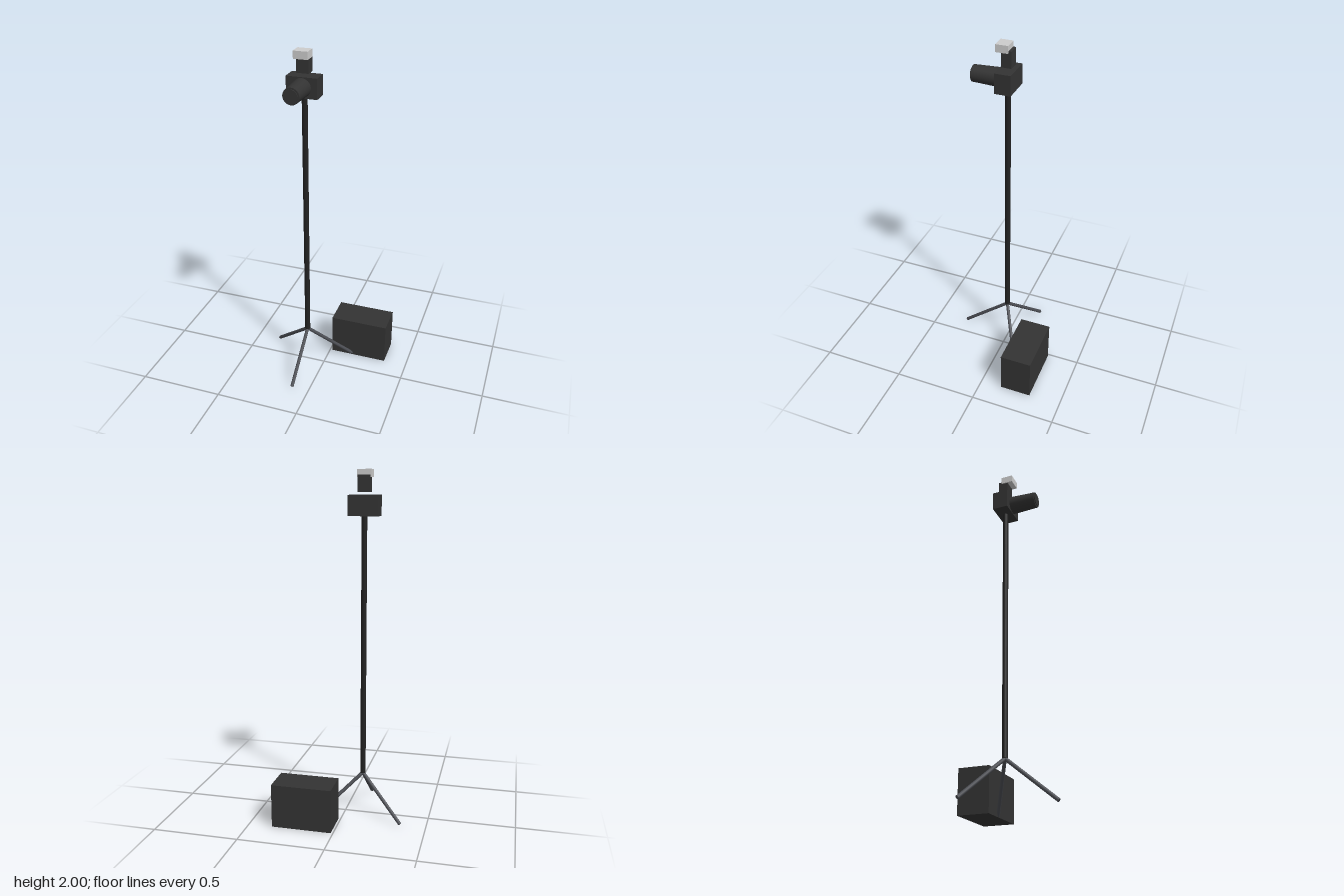
import * as THREE from 'three';

const mat = (name, color) => {
  const m = new THREE.MeshStandardMaterial({ color });
  m.name = name;
  return m;
};

export function createModel() {
  const root = new THREE.Group();
  root.name = 'cameraStandWithCase';
  const black = mat('blackMetal', 0x222222);
  const charcoal = mat('charcoalPlastic', 0x333333);
  const steel = mat('greySteel', 0x4a4c52);
  const pale = mat('paleGrey', 0xcccccc);
  const px = -0.103, pz = 0.013;

  const add = (name, geometry, material, x, y, z) => {
    const mesh = new THREE.Mesh(geometry, material);
    mesh.name = name;
    mesh.position.set(x, y, z);
    root.add(mesh);
    return mesh;
  };
  // Box given by its lower and upper corners
  const addBox = (name, material, a, b) => add(name,
    new THREE.BoxGeometry(b[0] - a[0], b[1] - a[1], b[2] - a[2]), material,
    (a[0] + b[0]) / 2, (a[1] + b[1]) / 2, (a[2] + b[2]) / 2);

  // Pole
  add('pole', new THREE.CylinderGeometry(0.016, 0.016, 1.51, 12), black, px, 1.005, pz);

  // Three splayed legs
  const top = new THREE.Vector3(px, 0.25, pz);
  for (let i = 0; i < 3; i++) {
    const a = i * Math.PI * 2 / 3;
    const foot = new THREE.Vector3(px + Math.sin(a) * 0.287, 0.013, pz + Math.cos(a) * 0.287);
    const dir = top.clone().sub(foot);
    const mid = top.clone().add(foot).multiplyScalar(0.5);
    const leg = add('leg' + (i + 1),
      new THREE.CylinderGeometry(0.0105, 0.0105, dir.length(), 8), steel, mid.x, mid.y, mid.z);
    leg.quaternion.setFromUnitVectors(new THREE.Vector3(0, 1, 0), dir.normalize());
  }

  // Camera body, tapered lens and front glass
  addBox('cameraBody', charcoal, [-0.19, 1.75, -0.033], [-0.017, 1.863, 0.058]);
  const lens = add('lens', new THREE.CylinderGeometry(0.046, 0.052, 0.154, 32), charcoal, px, 1.807, 0.133);
  lens.rotation.x = Math.PI / 2;
  const glass = add('lensGlass', new THREE.CylinderGeometry(0.037, 0.037, 0.006, 32), charcoal, px, 1.807, 0.212);
  glass.rotation.x = Math.PI / 2;

  // Accessory stem and lamp head
  addBox('lampStem', charcoal, [-0.138, 1.878, -0.016], [-0.069, 1.97, 0.04]);
  addBox('lampHead', pale, [-0.143, 1.958, 0], [-0.063, 2, 0.07]);

  // Equipment case
  addBox('equipmentCase', charcoal, [0.013, 0.003, -0.311], [0.361, 0.258, -0.127]);
  return root;
}
